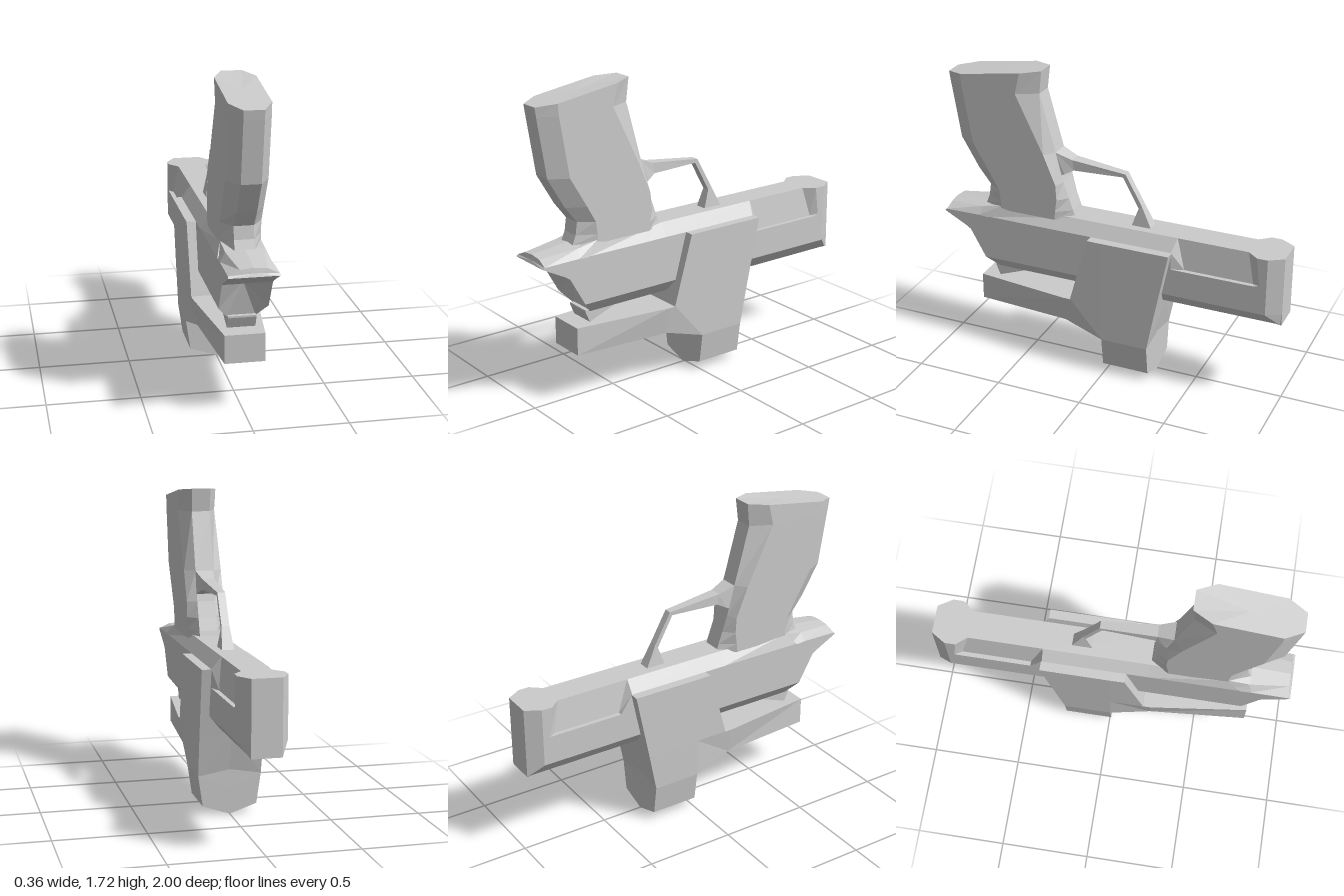
import * as THREE from 'three';

const material = new THREE.MeshStandardMaterial({ color: 0xcccccc, flatShading: true, side: THREE.DoubleSide });

// Full ring from the half profile on the +x side; points on x = 0 are not doubled.
function mirrorRing(half) {
  const other = half.filter(p => p[0] > 0).reverse().map(([x, y, z]) => [-x, y, z]);
  if (half[0][0] === 0) return [...half, ...other];
  return [...half, ...other];
}

// Skin a closed solid over matching cross-sections, with capped ends.
function loft(name, halves) {
  const rings = halves.map(mirrorRing);
  const n = rings[0].length;
  const tris = [];
  for (let r = 0; r < rings.length - 1; r++) {
    for (let i = 0; i < n; i++) {
      const j = (i + 1) % n, a = rings[r], b = rings[r + 1];
      tris.push([a[i], a[j], b[j]], [a[i], b[j], b[i]]);
    }
  }
  const cap = (ring, flip) => {
    const c = [0, 1, 2].map(k => ring.reduce((s, p) => s + p[k], 0) / n);
    ring.forEach((p, i) => {
      const q = ring[(i + 1) % n];
      tris.push(flip ? [c, q, p] : [c, p, q]);
    });
  };
  cap(rings[0], true);
  cap(rings[rings.length - 1], false);
  // Turn the faces outward if the signed volume is negative.
  const v = p => new THREE.Vector3(...p);
  const volume = tris.reduce((s, [a, b, c]) => s + v(a).dot(v(b).cross(v(c))), 0);
  if (volume < 0) tris.forEach(t => t.reverse());
  const geometry = new THREE.BufferGeometry();
  geometry.setAttribute('position', new THREE.Float32BufferAttribute(tris.flat(2), 3));
  geometry.computeVertexNormals();
  const mesh = new THREE.Mesh(geometry, material);
  mesh.name = name;
  return mesh;
}

export function createModel() {
  const group = new THREE.Group();
  group.name = 'invertedPistolWithMount';

  // Slide and frame: bevelled muzzle block, recessed rail, slanted rear
  const plain = z => [[0.08, 0.9, z], [0.13, 0.83, z], [0.13, 0.73, z], [0.13, 0.57, z], [0.075, 0.5, z]];
  group.add(loft('slideAndFrame', [
    [0.9, 0.73, 0.72, 0.57, 0.5].map(y => [0.08, y, -1]),
    [[0.13, 0.9, -0.92], [0.13, 0.74, -0.92], [0.13, 0.73, -0.92], [0.13, 0.57, -0.92], [0.08, 0.5, -0.99]],
    [[0.13, 0.9, -0.86], [0.13, 0.74, -0.88], [0.13, 0.73, -0.88], [0.13, 0.57, -0.91], [0.075, 0.5, -0.97]],
    [[0.08, 0.9, -0.8], [0.105, 0.73, -0.84], [0.13, 0.73, -0.85], [0.13, 0.57, -0.9], [0.075, 0.5, -0.95]],
    [[0.08, 0.9, -0.4], [0.105, 0.73, -0.45], [0.13, 0.73, -0.45], [0.13, 0.57, -0.45], [0.075, 0.5, -0.45]],
    plain(-0.38),
    plain(0.22),
    [[0.105, 0.9, 0.65], [0.13, 0.83, 0.72], [0.13, 0.73, 0.84], [0.13, 0.57, 0.75], [0.075, 0.5, 0.69]],
  ]));

  // Tail flaring out behind the grip
  group.add(loft('tail', [
    [[0, 0.9, 0.62], [0.105, 0.9, 0.65], [0.13, 0.82, 0.66], [0.13, 0.73, 0.84], [0, 0.73, 0.84]],
    [[0, 0.885, 0.77], [0.1, 0.875, 0.77], [0.13, 0.83, 0.78], [0.13, 0.75, 0.87], [0, 0.75, 0.87]],
    [[0, 0.862, 0.985], [0.07, 0.855, 0.985], [0.13, 0.828, 0.99], [0.13, 0.818, 1], [0, 0.818, 1]],
  ]));

  // Rear sight
  group.add(loft('rearSight', [
    [[0.075, 0.51, 0.53], [0.075, 0.5, 0.53]],
    [[0.075, 0.51, 0.7], [0.075, 0.44, 0.69]],
    [[0.075, 0.51, 0.715], [0.075, 0.5, 0.715]],
  ]));

  // Grip: height, then z of back edge, back shoulder, front shoulder, front edge
  const levels = [
    [0.88, 0.77, 0.65, 0.32, 0.215],
    [0.93, 0.75, 0.65, 0.315, 0.23],
    [1.0, 0.74, 0.66, 0.305, 0.255],
    [1.09, 0.81, 0.71, 0.31, 0.285],
    [1.26, 0.91, 0.81, 0.38, 0.33],
    [1.59, 0.963, 0.865, 0.54, 0.42],
  ].map(([y, b, bs, fs, f]) => [[0.052, y, b], [0.108, y, bs], [0.108, y, fs], [0.052, y, f]]);
  levels.push([[0.052, 1.64, 0.97], [0.108, 1.655, 0.87], [0.108, 1.71, 0.51], [0.055, 1.72, 0.405]]);
  group.add(loft('grip', levels));

  // Trigger guard: half width, outer z and y, inner z and y
  group.add(loft('triggerGuard', [
    [0.055, 0.36, 1.26, 0.32, 1.12],
    [0.052, 0.33, 1.26, 0.28, 1.14],
    [0.035, 0.24, 1.225, 0.23, 1.165],
    [0.022, -0.07, 1.19, -0.055, 1.17],
    [0.022, -0.165, 1.02, -0.148, 1.0],
    [0.035, -0.23, 0.89, -0.11, 0.89],
  ].map(([w, z0, y0, z1, y1]) => [[w, y0, z0], [w, y1, z1]])));

  // Clamp wrapped around the frame
  group.add(loft('clamp', [
    [[0.181, 0.83, 0.09], [0.176, 0.44, 0.2], [0.15, 0.285, 0.24], [0, 0.285, 0.24]],
    [[0.182, 0.83, 0.01], [0.178, 0.44, 0.01], [0.175, 0.22, 0.01], [0, 0.27, 0.01]],
    [[0.182, 0.83, -0.385], [0.178, 0.44, -0.305], [0.175, 0.22, -0.262], [0, 0.25, -0.262]],
  ]));

  // Pointed block under the clamp
  group.add(loft('lowerBlock', [0.01, -0.262].map(z =>
    [[0, 0.3, z], [0.175, 0.22, z], [0.15, 0.05, z], [0, 0, z]])));

  // Tapered arm reaching back from the clamp
  group.add(loft('rearArm', [
    [[0.176, 0.437, 0.18], [0.15, 0.285, 0.22]],
    [[0.175, 0.437, 0.24], [0.15, 0.285, 0.24]],
    [[0.106, 0.437, 0.79], [0.106, 0.283, 0.79]],
  ]));

  return group;
}
